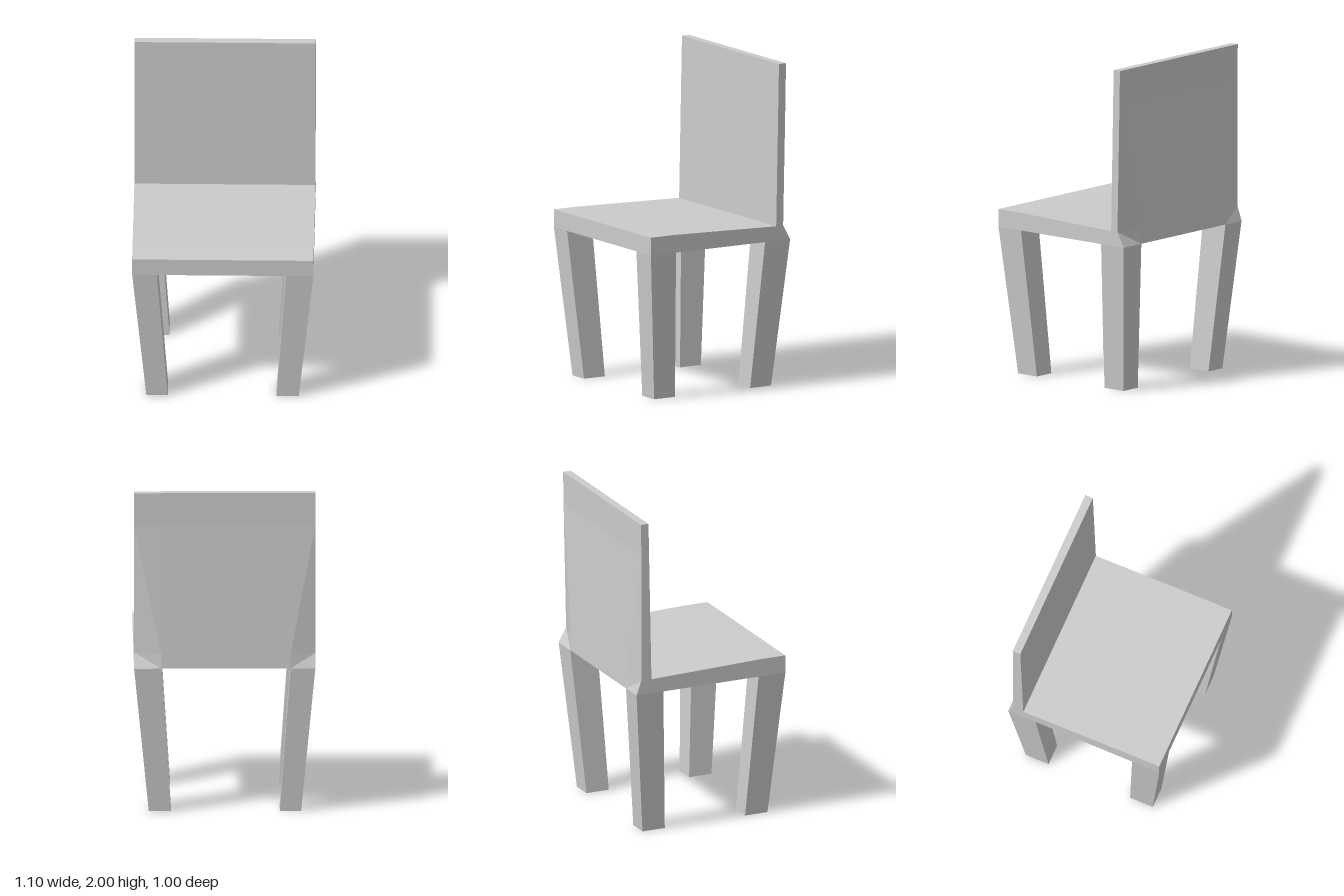
import * as THREE from 'three';

const material = new THREE.MeshStandardMaterial({ color: 0xcccccc, flatShading: true });

// Joins closed rings of [x, y, z] corners, bottom to top, counter-clockwise from above, and caps both ends.
function loft(name, rings) {
  const n = rings[0].length;
  const index = [];
  for (let r = 0; r < rings.length - 1; r++) {
    for (let i = 0; i < n; i++) {
      const a = r * n + i, b = r * n + (i + 1) % n;
      // the split of each quad runs up towards the outer back corner
      if (i === 2) index.push(a, b, a + n, b, b + n, a + n);
      else index.push(a, b, b + n, a, b + n, a + n);
    }
  }
  const top = (rings.length - 1) * n;
  for (let i = 1; i < n - 1; i++) {
    index.push(0, i + 1, i, top, top + i, top + i + 1);
  }
  const indexed = new THREE.BufferGeometry();
  indexed.setAttribute('position', new THREE.Float32BufferAttribute(rings.flat(2), 3));
  indexed.setIndex(index);
  const geometry = indexed.toNonIndexed();
  geometry.computeVertexNormals();
  const mesh = new THREE.Mesh(geometry, material);
  mesh.name = name;
  return mesh;
}

// Rectangular ring at height y
const rect = (x0, x1, z0, z1, y) => [[x0, y, z1], [x1, y, z1], [x1, y, z0], [x0, y, z0]];

export function createModel() {
  const chair = new THREE.Group();
  chair.name = 'chair';

  // Seat: side profile with a gently falling top, extruded across the width
  const profile = new THREE.Shape([
    [-0.5, 0.91], [0.4, 0.91], [0.4, 1.0], [-0.33, 1.02], [-0.5, 1.02],
  ].map(([x, y]) => new THREE.Vector2(x, y)));
  const seatGeometry = new THREE.ExtrudeGeometry(profile, { depth: 1.1, bevelEnabled: false });
  seatGeometry.translate(0, 0, -0.55).rotateY(Math.PI / 2);
  const seat = new THREE.Mesh(seatGeometry, material);
  seat.name = 'seat';
  chair.add(seat);

  // Backrest: front z, middle back z, and the chamfered corner z on each side, per height
  const levels = [
    { y: 0.91, front: -0.4, middle: -0.5, left: -0.5, right: -0.5 },
    { y: 1.0, front: -0.4, middle: -0.497, left: -0.45, right: -0.468 },
    { y: 1.8, front: -0.416, middle: -0.469, left: -0.467, right: -0.468 },
    { y: 2.0, front: -0.42, middle: -0.47, left: -0.47, right: -0.47 },
  ];
  chair.add(loft('backrest', levels.map(({ y, front, middle, left, right }) => [
    [-0.55, y, front], [0.55, y, front], [0.55, y, left],
    [0.385, y, middle], [-0.4, y, middle], [-0.55, y, right],
  ])));

  // Legs: tapering and leaning inwards towards the floor
  const columns = [
    { side: 'right', foot: [-0.465, -0.335], head: [-0.55, -0.4] },
    { side: 'left', foot: [0.325, 0.46], head: [0.385, 0.55] },
  ];
  const rows = [
    { end: 'front', foot: [0.27, 0.42], head: [0.32, 0.5] },
    { end: 'back', foot: [-0.42, -0.27], head: [-0.5, -0.32] },
  ];
  for (const c of columns) {
    for (const r of rows) {
      const name = r.end + (c.side === 'left' ? 'Left' : 'Right') + 'Leg';
      chair.add(loft(name, [rect(...c.foot, ...r.foot, 0), rect(...c.head, ...r.head, 0.91)]));
    }
  }
  return chair;
}
